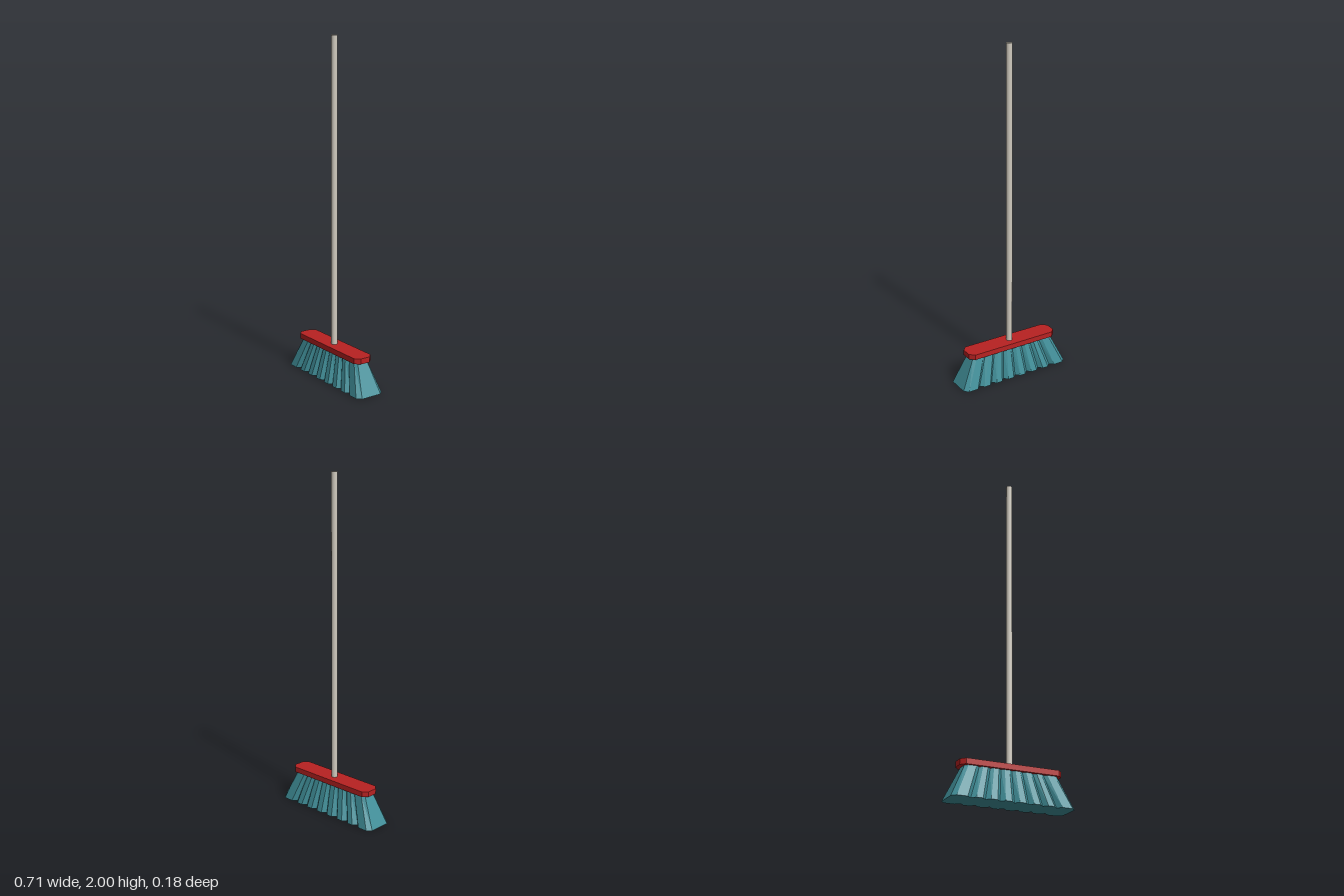
import * as THREE from 'three';

const material = (name, color) => {
  const m = new THREE.MeshStandardMaterial({ color });
  m.name = name;
  return m;
};

// Extrude an outline in the ground plane upwards
function prism(points, height) {
  const shape = new THREE.Shape(points.map(([x, y]) => new THREE.Vector2(x, y)));
  const geo = new THREE.ExtrudeGeometry(shape, { depth: height, bevelEnabled: false });
  return geo.rotateX(-Math.PI / 2);
}

// Outline of eight tufts side by side, with a notch between neighbours
function bristleOutline() {
  const pitch = 0.0825, side = [[-0.357, -0.065], [-0.333, -0.09], [-0.273, -0.09]];
  for (let i = -3; i <= 3; i++) {
    const x = i * pitch;
    side.push([x, -0.066]);
    if (i < 3) side.push([x + 0.023, -0.09], [x + pitch - 0.023, -0.09]);
  }
  side.push([0.273, -0.09], [0.333, -0.09], [0.357, -0.065]);
  return [...side, ...side.map(([x, z]) => [-x, -z])];
}

export function createModel() {
  const group = new THREE.Group();
  group.name = 'broom';
  const add = (name, geo, mat, y) => {
    const mesh = new THREE.Mesh(geo, mat);
    mesh.name = name;
    mesh.position.y = y;
    group.add(mesh);
  };

  // Bristles, flaring from the head to the floor
  const height = 0.18;
  const bristles = prism(bristleOutline(), height);
  const p = bristles.attributes.position;
  for (let i = 0; i < p.count; i++) {
    const t = p.getY(i) / height;
    p.setX(i, p.getX(i) * (1 - 0.24 * t));
    p.setZ(i, p.getZ(i) * (1 - 0.5 * t));
  }
  bristles.computeVertexNormals();
  add('bristles', bristles, material('teal bristle', 0x41909a), 0);

  // Head plate with cut corners
  const corner = [[0.298, -0.031], [0.298, 0.031], [0.271, 0.059], [-0.271, 0.059]];
  const outline = [...corner, [-0.298, 0.031], [-0.298, -0.031], [-0.271, -0.059], [0.271, -0.059]];
  add('head', prism(outline, 0.032), material('red head', 0xb82222), 0.18);

  // Long round handle
  const handle = new THREE.CylinderGeometry(0.018, 0.018, 1.8, 12);
  add('handle', handle, material('pale grey handle', 0xd2ccc0), 1.1);

  return group;
}
